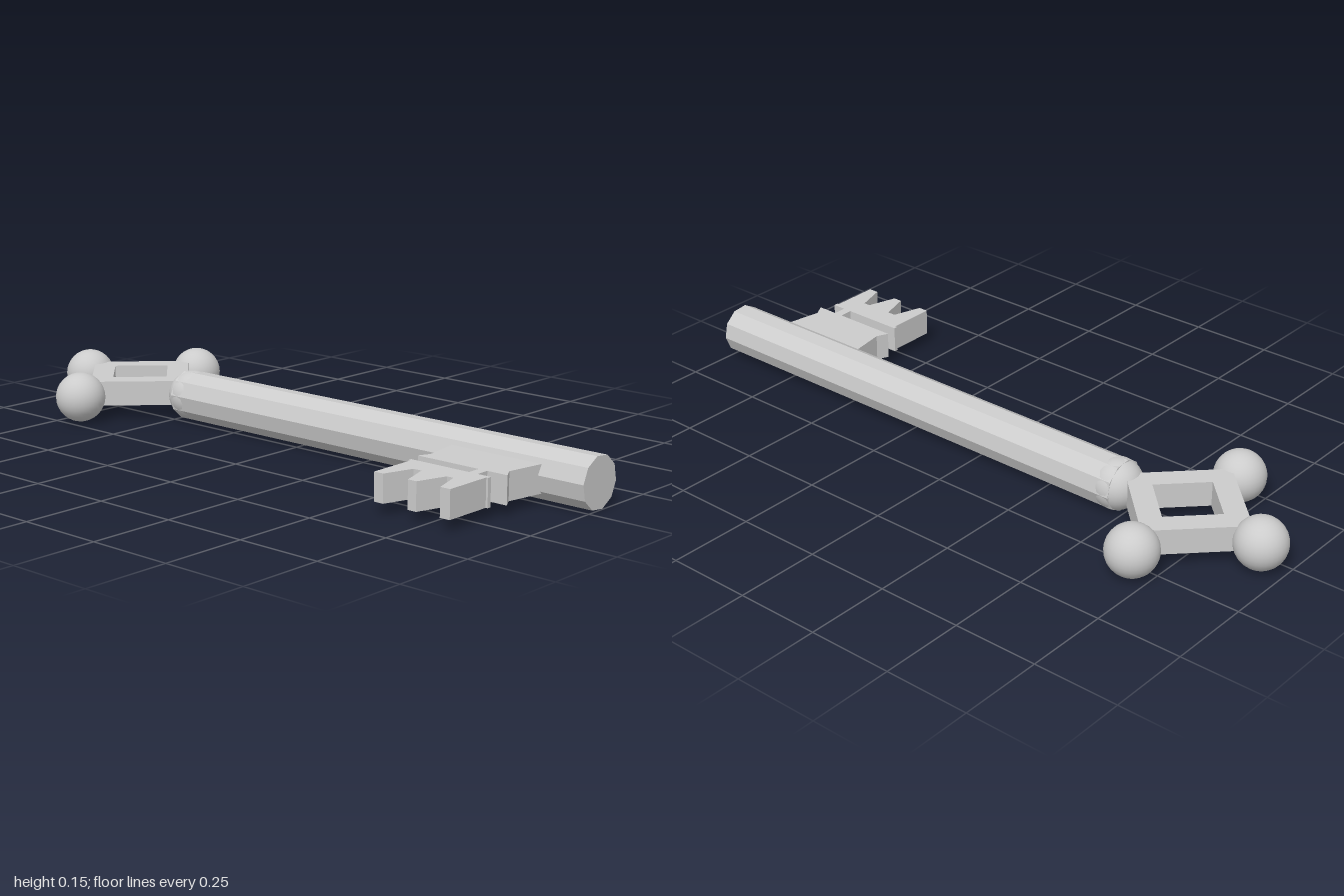
import * as THREE from 'three';

const AXIS_Y = 0.074; // height of the shaft axis
const AXIS_Z = -0.045; // depth of the shaft axis
const BOW_X = -0.693; // centre of the bow
const RADIUS = 0.074;

// Extrudes a plan (x, z) outline between two heights.
function slab(shape, bottom, top) {
  return new THREE.ExtrudeGeometry(shape, { depth: top - bottom, bevelEnabled: false })
    .rotateX(Math.PI / 2)
    .translate(0, top, 0);
}

const outline = (points) => points.map(([x, z]) => new THREE.Vector2(x, z));

function diamond(r) {
  return outline([[r, 0], [0, r], [-r, 0], [0, -r]])
    .map((p) => p.add(new THREE.Vector2(BOW_X, AXIS_Z)));
}

export function createModel() {
  const key = new THREE.Group();
  key.name = 'key';
  const flat = new THREE.MeshStandardMaterial({ color: 0xcccccc, flatShading: true });
  const smooth = new THREE.MeshStandardMaterial({ color: 0xcccccc });

  function add(name, geometry, material = flat) {
    const mesh = new THREE.Mesh(geometry, material);
    mesh.name = name;
    key.add(mesh);
    return mesh;
  }

  // Ten-sided shaft, slightly rolled about its length
  const start = -0.485;
  const end = 1;
  const shaft = add('shaft', new THREE.CylinderGeometry(
    RADIUS, RADIUS, end - start, 10, 1, false, -THREE.MathUtils.degToRad(6)
  ).rotateZ(-Math.PI / 2));
  shaft.position.set((start + end) / 2, AXIS_Y, AXIS_Z);

  // Diamond-shaped bow with an open centre
  const bow = new THREE.Shape(diamond(0.206));
  bow.holes.push(new THREE.Path(diamond(0.115)));
  add('bow', slab(bow, 0.039, 0.113));

  // Balls on the four corners of the bow, one rounding off the shaft
  const balls = [
    ['leftBall', 0.231, 0],
    ['rightBall', -0.233, 0],
    ['frontBall', 0, 0.248],
    ['backBall', 0, -0.242],
  ];
  for (const [name, dx, dz] of balls) {
    const ball = add(name, new THREE.SphereGeometry(RADIUS, 32, 16), smooth);
    ball.position.set(BOW_X + dx, AXIS_Y, AXIS_Z + dz);
  }

  // Bit: flared root, thin neck and toothed plate in one outline
  const bit = new THREE.Shape(outline([
    [0.565, -0.03], [0.572, 0.02], [0.59, 0.128], [0.575, 0.163],
    [0.773, 0.163], [0.773, 0.203],
    [0.585, 0.203], [0.585, 0.215], [0.593, 0.215], [0.593, 0.36],
    [0.623, 0.36], [0.65, 0.273], [0.676, 0.273], [0.703, 0.36],
    [0.73, 0.36], [0.757, 0.273], [0.778, 0.273], [0.805, 0.36],
    [0.836, 0.36], [0.836, 0.215], [0.842, 0.215], [0.842, 0.203],
    [0.8, 0.203], [0.8, 0.163],
    [0.863, 0.163], [0.843, 0.128], [0.862, 0.02], [0.87, -0.03],
  ]));
  add('bit', slab(bit, 0.031, 0.11));

  return key;
}
